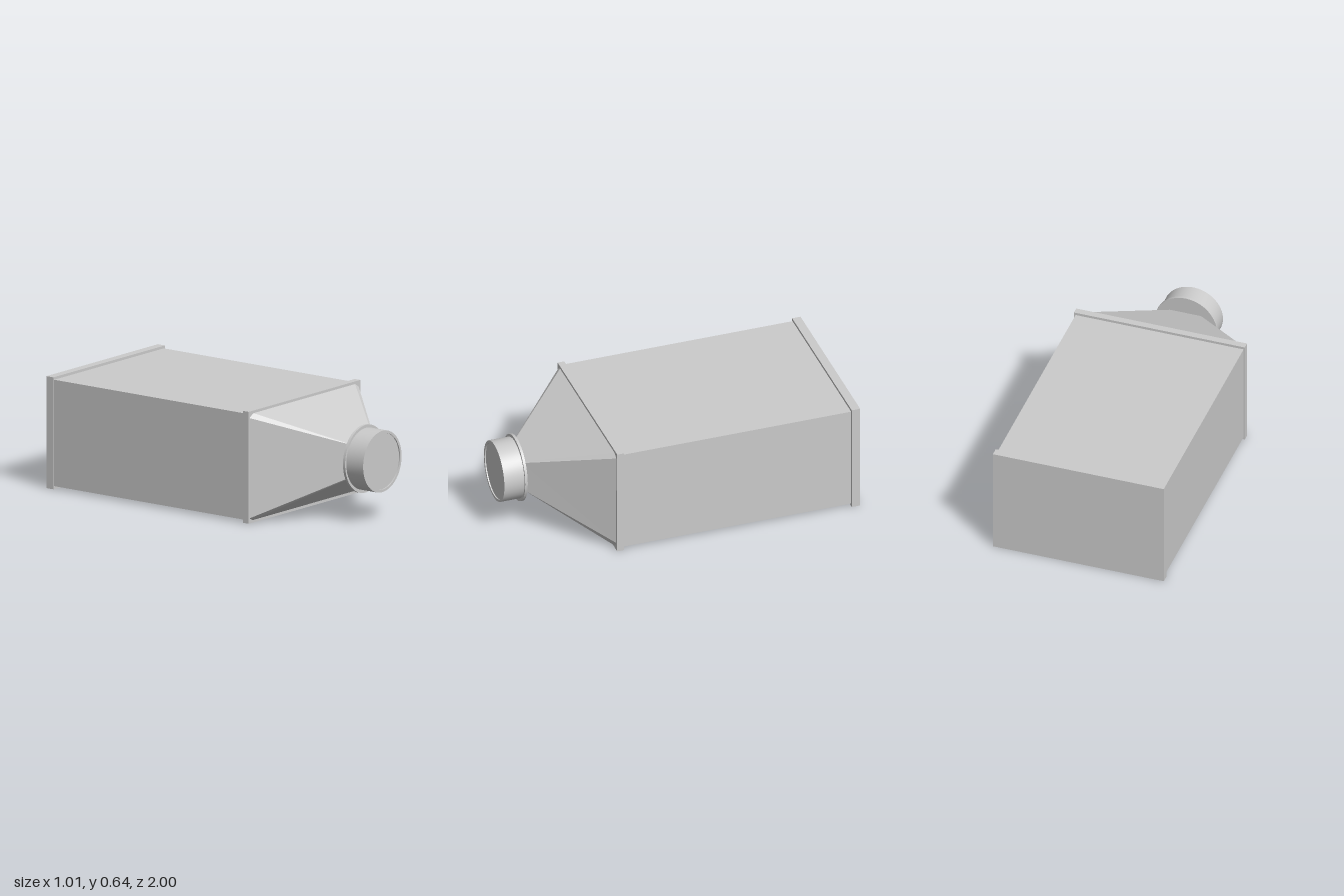
import * as THREE from 'three';
import { toCreasedNormals } from 'three/addons/utils/BufferGeometryUtils.js';

export function createModel() {
  const group = new THREE.Group();
  const grey = new THREE.MeshStandardMaterial({ color: 0xcccccc });
  const flat = new THREE.MeshStandardMaterial({ color: 0xcccccc, flatShading: true, side: THREE.DoubleSide });

  const add = (name, geometry, material = grey) => {
    const mesh = new THREE.Mesh(geometry, material);
    mesh.name = name;
    group.add(mesh);
    return mesh;
  };

  // Box given by its limits on each axis
  const addBox = (name, x0, x1, y0, y1, z0, z1) =>
    add(name, new THREE.BoxGeometry(x1 - x0, y1 - y0, z1 - z0))
      .position.set((x0 + x1) / 2, (y0 + y1) / 2, (z0 + z1) / 2);

  // Rectangular duct with a flange at each end
  addBox('ductBody', -0.5, 0.497, 0.017, 0.63, -0.96, 0.42);
  addBox('backFlange', -0.507, 0.507, 0, 0.645, -1, -0.95);
  addBox('frontFlange', -0.507, 0.507, 0, 0.645, 0.405, 0.445);

  // Tapered transition: chamfered rectangle narrowing towards the outlet
  const wide = [
    [0.488, 0.045], [0.492, 0.61], [0.46, 0.63], [-0.465, 0.63],
    [-0.5, 0.608], [-0.5, 0.03], [-0.473, 0.015], [0.47, 0.015],
  ];
  const narrow = [
    [0.1, 0.26], [0.1, 0.432], [0.09, 0.437], [-0.08, 0.437],
    [-0.09, 0.435], [-0.09, 0.262], [-0.083, 0.257], [0.092, 0.257],
  ];
  const verts = [];
  wide.forEach((p, i) => {
    const j = (i + 1) % wide.length;
    const a = [...p, 0.445], b = [...wide[j], 0.445];
    const c = [...narrow[j], 0.87], d = [...narrow[i], 0.87];
    verts.push(...a, ...b, ...c, ...a, ...c, ...d);
  });
  const taper = new THREE.BufferGeometry();
  taper.setAttribute('position', new THREE.Float32BufferAttribute(verts, 3));
  taper.computeVertexNormals();
  add('taper', taper, flat);

  // Round parts: profile of [radius, z] turned about the z axis
  const addTurned = (name, profile, scaleX, y) => {
    const lathe = new THREE.LatheGeometry(profile.map(([r, z]) => new THREE.Vector2(r, z)), 40);
    lathe.rotateX(Math.PI / 2);
    lathe.scale(scaleX, 1, 1);
    add(name, toCreasedNormals(lathe, 0.6)).position.set(0.001, y, 0);
  };
  addTurned('outletFlange', [[0, 0.865], [0.195, 0.865], [0.195, 0.88], [0, 0.88]], 0.955, 0.345);
  addTurned('outletCollar',
    [[0, 0.87], [0.177, 0.87], [0.177, 1], [0.162, 1], [0.162, 0.993], [0, 0.993]], 0.99, 0.346);

  return group;
}
